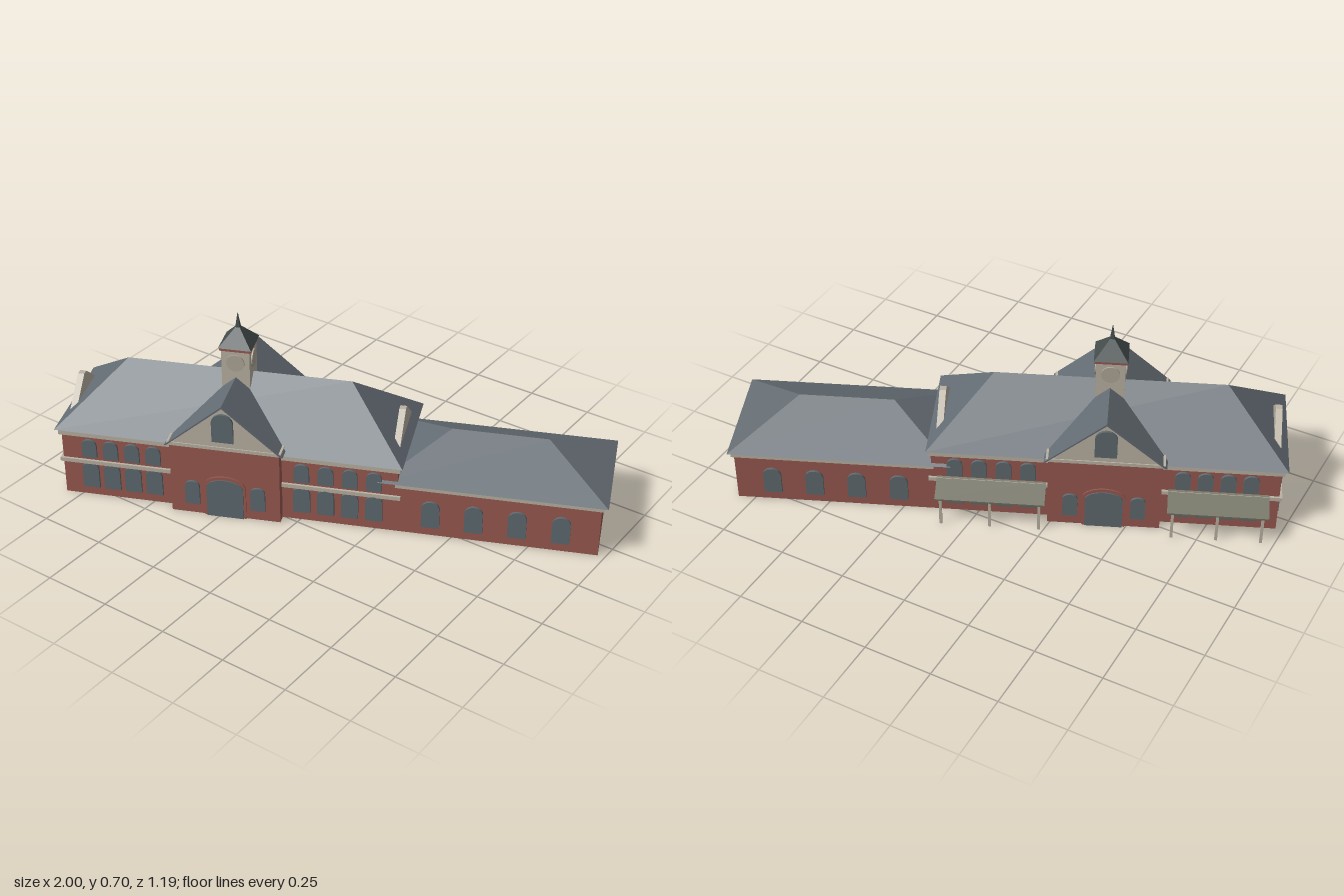
import * as THREE from 'three';

const mat = (name, color) => {
  const m = new THREE.MeshStandardMaterial({ color });
  m.name = name;
  return m;
};
const brick = mat('brick', 0x985950);
const slate = mat('slate', 0x646c73);
const stone = mat('stone', 0xbbb3a4);
const glass = mat('glass', 0x5f6a70);
const spireSlate = mat('spireSlate', 0x444d4c);
const olive = mat('olive', 0x6f6f60);
const clockStone = mat('clockStone', 0xb0a899);

const CX = -0.357;  // centre of the main block along its length
const WALL = 0.21;  // half depth of the walls
const BAY = 0.245;  // half depth of the central bay

export function createModel() {
  const root = new THREE.Group();
  root.name = 'station';
  const body = new THREE.Group();
  body.name = 'building';
  body.rotation.y = 0.405;  // the building stands diagonally
  root.add(body);

  const add = (name, geo, material, parent = body) => {
    const m = new THREE.Mesh(geo, material);
    m.name = name;
    parent.add(m);
    return m;
  };
  // Box from its limits; depth is symmetric about z = 0
  const block = (name, x0, x1, y0, y1, halfZ, material) => {
    const m = add(name, new THREE.BoxGeometry(x1 - x0, y1 - y0, halfZ * 2), material);
    m.position.set((x0 + x1) / 2, (y0 + y1) / 2, 0);
    return m;
  };
  // Hipped roof from eave and ridge limits
  const hipRoof = (name, x0, x1, r0, r1, w, y0, y1) => {
    const a = [x0, y0, w], b = [x1, y0, w], c = [x1, y0, -w], d = [x0, y0, -w];
    const e = [r0, y1, 0], f = [r1, y1, 0];
    const tris = [a, b, f, a, f, e, b, c, f, c, d, e, c, e, f, d, a, e, a, d, c, a, c, b];
    const g = new THREE.BufferGeometry();
    g.setAttribute('position', new THREE.Float32BufferAttribute(tris.flat(), 3));
    g.computeVertexNormals();
    return add(name, g, slate);
  };
  const polygon = (pts) => new THREE.Shape(pts.map(([x, y]) => new THREE.Vector2(x, y)));
  const extrude = (shape, depth) =>
    new THREE.ExtrudeGeometry(shape, { depth, bevelEnabled: false, curveSegments: 10 });
  // Arched plate standing on y0 with its crown at y1
  const archPlate = (name, x, y0, y1, width, rise, z, depth, material, parent) => {
    const s = new THREE.Shape();
    s.moveTo(-width / 2, y0);
    s.lineTo(width / 2, y0);
    s.lineTo(width / 2, y1 - rise);
    s.absellipse(0, y1 - rise, width / 2, rise, 0, Math.PI, false);
    s.closePath();
    add(name, extrude(s, depth), material, parent).position.set(x, 0, z);
  };

  // Walls
  block('mainWalls', -0.97, 0.26, 0, 0.255, WALL, brick);
  block('wingWalls', 0.25, 0.97, 0, 0.19, WALL, brick);
  block('centralBay', CX - 0.2, CX + 0.2, 0, 0.285, BAY, brick);

  // Stone bands and cornices
  block('stringCourse', -0.98, 0.27, 0.136, 0.151, WALL + 0.009, stone);
  block('mainCornice', -0.98, 0.27, 0.25, 0.27, WALL + 0.009, stone);
  block('wingCornice', 0.25, 0.98, 0.188, 0.204, WALL + 0.007, stone);
  block('bayCornice', CX - 0.208, CX + 0.208, 0.283, 0.296, BAY + 0.008, stone);

  // Hipped roofs
  hipRoof('mainRoof', -0.993, 0.277, -0.77, 0.054, 0.224, 0.27, 0.47);
  hipRoof('wingRoof', 0.187, 0.993, 0.416, 0.761, 0.222, 0.204, 0.32);

  // Cross gable: stone pediments under a thin folded roof
  const pediment = extrude(polygon([[-0.206, 0.29], [0.206, 0.29], [0, 0.46]]), 2 * BAY + 0.008);
  add('pediments', pediment, stone).position.set(CX, 0, -BAY - 0.004);
  const fold = extrude(polygon([
    [-0.215, 0.283], [-0.208, 0.283], [0, 0.459], [0.208, 0.283], [0.215, 0.283], [0, 0.467],
  ]), 0.514);
  add('crossRoof', fold, slate).position.set(CX, 0, -0.257);

  // Stone gables standing on the hipped ends
  for (const x of [-0.953, 0.238]) {
    const g = extrude(polygon([[-0.138, 0.28], [0.138, 0.28], [0.012, 0.386], [-0.012, 0.386]]), 0.024);
    g.translate(0, 0, -0.012);
    const m = add('endGable', g, stone);
    m.rotation.y = Math.PI / 2;
    m.position.x = x;
  }

  // Windows and doors, the same on both long sides
  for (const side of [1, -1]) {
    const face = new THREE.Group();
    face.name = side > 0 ? 'frontOpenings' : 'backOpenings';
    face.scale.x = 1;
    face.rotation.y = side > 0 ? 0 : Math.PI;
    body.add(face);
    const arch = (name, x, y0, y1, w, rise, z, depth = 0.009, m = glass) =>
      archPlate(name, x * side, y0, y1, w, rise, z, depth, m, face);
    for (let i = 0; i < 4; i++) {
      for (const x of [-0.868 + i * 0.0795, -0.085 + i * 0.087]) {
        arch('lowerWindow', x, 0.036, 0.138, 0.061, 0.022, WALL);
        arch('upperWindow', x, 0.163, 0.238, 0.055, 0.024, WALL);
      }
      arch('wingWindow', 0.378 + i * 0.153, 0.036, 0.144, 0.065, 0.03, WALL);
    }
    for (const dx of [-0.12, 0.12]) arch('bayWindow', CX + dx, 0.042, 0.138, 0.053, 0.02, BAY);
    arch('doorArch', CX, 0, 0.169, 0.152, 0.042, BAY, 0.005, brick);
    arch('door', CX, 0, 0.156, 0.134, 0.034, BAY);
    arch('pedimentWindow', CX, 0.32, 0.434, 0.078, 0.036, BAY + 0.004);
  }

  // Windows on the short end of the main block
  const end = new THREE.Group();
  end.name = 'endOpenings';
  end.rotation.y = -Math.PI / 2;
  body.add(end);
  for (let i = 0; i < 4; i++) {
    const x = -0.126 + i * 0.084;
    archPlate('endLowerWindow', x, 0.036, 0.138, 0.061, 0.022, 0.97, 0.008, glass, end);
    archPlate('endUpperWindow', x, 0.163, 0.238, 0.055, 0.024, 0.97, 0.008, glass, end);
  }

  // Clock tower
  const tower = new THREE.Group();
  tower.name = 'clockTower';
  tower.position.x = CX;
  body.add(tower);
  add('towerShaft', new THREE.BoxGeometry(0.103, 0.233, 0.103), stone, tower).position.y = 0.457;
  add('towerCornice', new THREE.BoxGeometry(0.114, 0.011, 0.114), brick, tower).position.y = 0.578;
  for (let i = 0; i < 4; i++) {
    const turn = new THREE.Group();
    turn.name = 'clockSide';
    turn.rotation.y = i * Math.PI / 2;
    tower.add(turn);
    const clock = add('clockFace', new THREE.CylinderGeometry(0.033, 0.033, 0.006, 24), clockStone, turn);
    clock.rotation.x = Math.PI / 2;
    clock.position.set(0, 0.526, 0.0535);
  }
  // Four-sided spire
  const pyramid = (name, halfBase, halfTop, y0, y1) => {
    const g = new THREE.CylinderGeometry(
      halfTop * Math.SQRT2, halfBase * Math.SQRT2, y1 - y0, 4, 1).toNonIndexed();
    g.rotateY(Math.PI / 4);
    g.computeVertexNormals();
    add(name, g, spireSlate, tower).position.y = (y0 + y1) / 2;
  };
  pyramid('towerRoof', 0.06, 0.008, 0.583, 0.646);
  pyramid('spire', 0.009, 0.0008, 0.64, 0.7);

  // Sloping canopies on posts along the back
  for (const [x0, x1] of [[-0.935, -0.58], [-0.15, 0.24]]) {
    const profile = polygon([[0.205, 0.15], [0.297, 0.112], [0.297, 0.118], [0.205, 0.156]]);
    const canopy = add('canopy', extrude(profile, x1 - x0), olive);
    canopy.rotation.y = Math.PI / 2;  // profile x runs towards the back
    canopy.position.x = x0;
    for (const x of [x0 + 0.02, (x0 + x1) / 2, x1 - 0.02]) {
      const post = add('canopyPost', new THREE.BoxGeometry(0.01, 0.116, 0.01), stone);
      post.position.set(x, 0.058, -0.286);
    }
  }
  return root;
}
